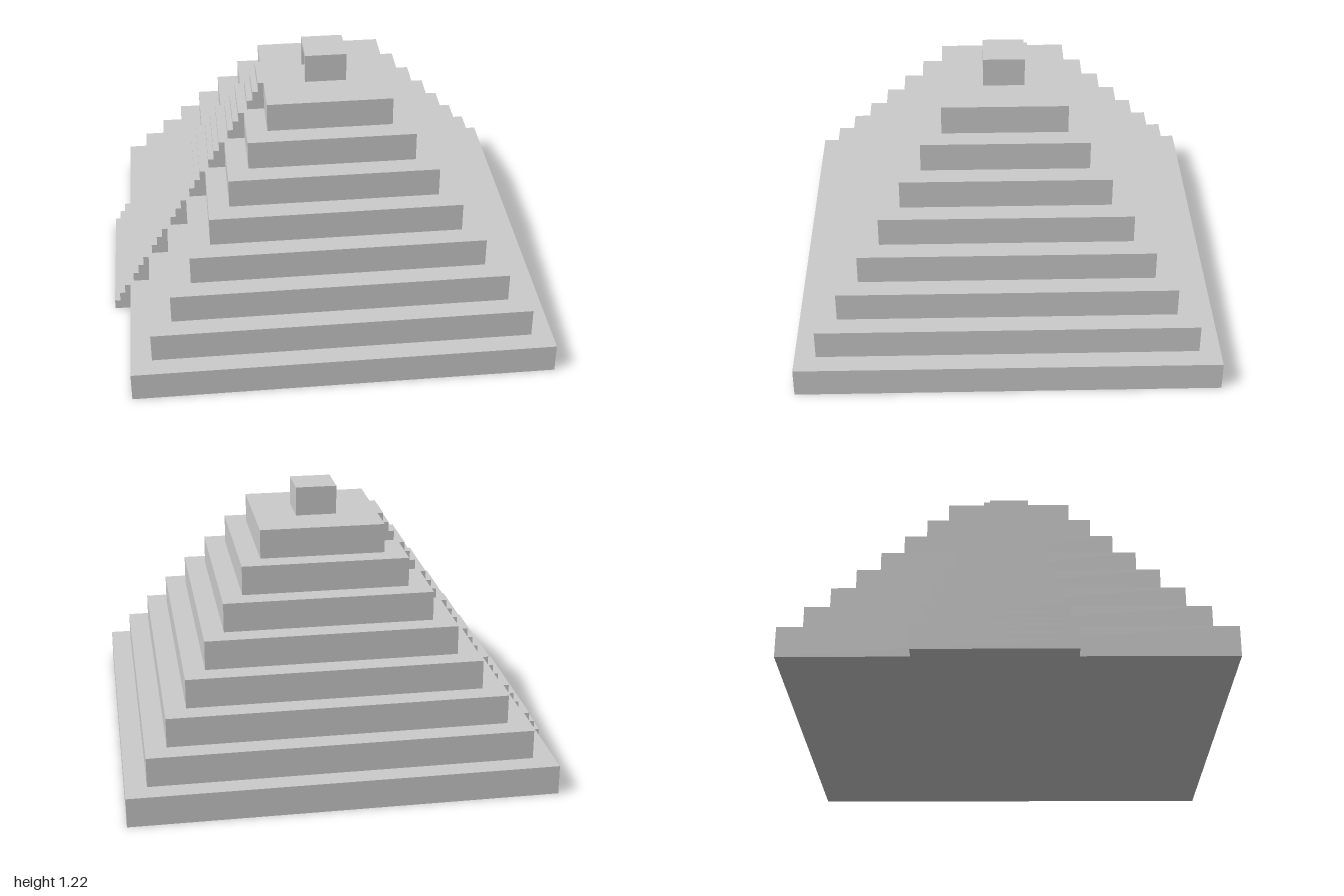
import * as THREE from 'three';

const TIERS = 8;
const TIER_H = 0.1358;      // height of one terrace
const INSET = 0.0961;       // how far each terrace steps in
const BASE_HALF = 0.96;
const CENTRE_X = 0.04;
const STAIR_DEPTH = 0.079;
const STEPS = 3;

const material = new THREE.MeshStandardMaterial({ color: 0xcccccc, flatShading: true });

function addMesh(parent, name, geometry, x, y, z) {
  const mesh = new THREE.Mesh(geometry, material);
  mesh.name = name;
  mesh.position.set(x, y, z);
  parent.add(mesh);
  return mesh;
}

// Stepped side profile: rises towards +x and ends at the terrace wall (x = 0)
function stairGeometry(width) {
  const run = STAIR_DEPTH / STEPS, rise = TIER_H / STEPS;
  const shape = new THREE.Shape();
  shape.moveTo(0, 0);
  shape.lineTo(0, TIER_H);
  for (let s = STEPS; s > 0; s--) {
    const x = -run * (STEPS - s + 1);
    shape.lineTo(x, rise * s);
    shape.lineTo(x, rise * (s - 1));
  }
  return new THREE.ExtrudeGeometry(shape, { depth: width, bevelEnabled: false });
}

// Hollow shrine with a doorway facing the stairs (-x)
function createShrine() {
  const shrine = new THREE.Group();
  shrine.name = 'shrine';
  const size = 0.19, height = 0.135, wall = 0.022;
  const inner = size - 2 * wall;
  const front = new THREE.Shape();
  front.moveTo(-size / 2, 0);
  front.lineTo(-inner / 2, 0);
  front.lineTo(-inner / 2, height - wall);
  front.lineTo(inner / 2, height - wall);
  front.lineTo(inner / 2, 0);
  front.lineTo(size / 2, 0);
  front.lineTo(size / 2, height);
  front.lineTo(-size / 2, height);
  const shell = new THREE.ExtrudeGeometry(front, { depth: size - wall, bevelEnabled: false });
  shell.rotateY(Math.PI / 2);
  addMesh(shrine, 'shrineWallsAndRoof', shell, -size / 2, 0, 0);
  addMesh(shrine, 'shrineBackWall', new THREE.BoxGeometry(wall, height, size),
    size / 2 - wall / 2, height / 2, 0);
  return shrine;
}

export function createModel() {
  const pyramid = new THREE.Group();
  pyramid.name = 'steppedPyramid';

  for (let i = 0; i < TIERS; i++) {
    const half = BASE_HALF - INSET * i;
    const y = TIER_H * i;
    addMesh(pyramid, `terrace${i + 1}`, new THREE.BoxGeometry(half * 2, TIER_H, half * 2),
      CENTRE_X, y + TIER_H / 2, 0);

    // Flight of steps, narrowing towards the top and set slightly off centre
    const zMin = -0.4 + 0.04 * i;
    const zMax = 0.295 - 0.03 * i;
    addMesh(pyramid, `stairFlight${i + 1}`, stairGeometry(zMax - zMin),
      CENTRE_X - half, y, zMin);
  }

  const shrine = createShrine();
  shrine.position.set(CENTRE_X, TIER_H * TIERS, 0);
  pyramid.add(shrine);
  return pyramid;
}
